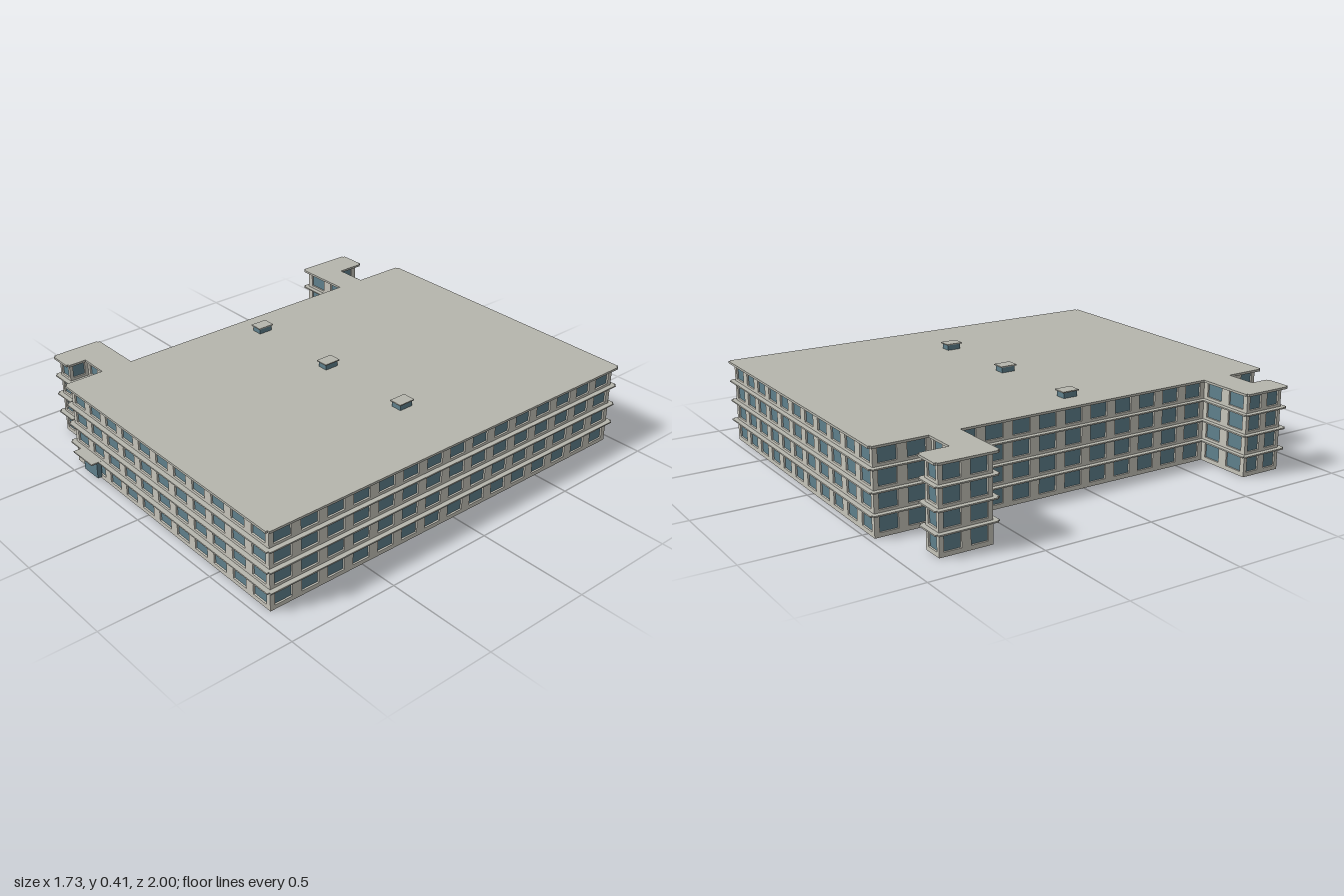
import * as THREE from 'three';

const wallMat = new THREE.MeshStandardMaterial({ name: 'wall concrete', color: 0xc6c4ba, side: THREE.DoubleSide });
const roofMat = new THREE.MeshStandardMaterial({ name: 'roof concrete', color: 0xb6b6ad });
const glassMat = new THREE.MeshStandardMaterial({ name: 'blue glass', color: 0x5f808c, side: THREE.DoubleSide });

// Outer wall footprint as [x, z]: a slightly turned main block with two hooked wings on its right side
const FOOTPRINT = [
  [-0.56, 0.94], [0.817, 0.953], [0.836, -0.963], [-0.557, -0.976],
  [-0.557, -0.724], [-0.752, -0.724], [-0.752, -0.864], [-0.847, -0.864],
  [-0.847, -0.631], [-0.558, -0.631], [-0.559, 0.645], [-0.828, 0.645],
  [-0.828, 0.84], [-0.745, 0.84], [-0.745, 0.748], [-0.56, 0.748],
];
const FLOORS = 4, FLOOR_H = 0.0925, WALL_H = 0.368, ROOF_Y = 0.376;
const WALL_T = 0.012, OVERHANG = 0.022, CORNER = 0.012;

function rect(x, y, w, h, Type = THREE.Shape) {
  return new Type([[x, y], [x + w, y], [x + w, y + h], [x, y + h]].map(p => new THREE.Vector2(...p)));
}

function box(parent, name, mat, size, pos) {
  const mesh = new THREE.Mesh(new THREE.BoxGeometry(...size), mat);
  mesh.name = name;
  mesh.position.set(...pos);
  parent.add(mesh);
  return mesh;
}

// One facade: local x runs along the wall, local z points outwards
function facade([ax, az], [bx, bz]) {
  const g = new THREE.Group();
  g.name = 'facade';
  const len = Math.hypot(bx - ax, bz - az);
  g.position.set(ax, 0, az);
  g.rotation.y = Math.atan2(az - bz, bx - ax);

  // wall with window openings and recessed panes
  const bays = Math.max(1, Math.round(len / 0.126 + 0.1));
  const bay = len / bays, w = bay * 0.65;
  const wall = rect(0, 0, len, WALL_H);
  const panes = [];
  for (let f = 0; f < FLOORS; f++) {
    for (let i = 0; i < bays; i++) {
      const r = [bay * (i + 0.5) - w / 2, 0.019 + f * FLOOR_H, w, 0.066];
      wall.holes.push(rect(...r, THREE.Path));
      panes.push(rect(...r));
    }
  }
  const wallMesh = new THREE.Mesh(
    new THREE.ExtrudeGeometry(wall, { depth: WALL_T, bevelEnabled: false }), wallMat);
  wallMesh.name = 'wall';
  wallMesh.position.z = -WALL_T;
  const glass = new THREE.Mesh(new THREE.ShapeGeometry(panes), glassMat);
  glass.name = 'windows';
  glass.position.z = -0.008;
  g.add(wallMesh, glass);

  // floor ledges and roof edge
  for (let f = 1; f <= FLOORS; f++) {
    const top = f === FLOORS;
    const h = top ? 0.01 : 0.006;
    const y = top ? ROOF_Y - h / 2 : 0.004 + f * FLOOR_H;
    box(g, top ? 'roofEdge' : 'ledge', roofMat,
      [len + 2 * CORNER, h, OVERHANG + 0.004], [len / 2, y, OVERHANG / 2 - 0.002]);
  }
  return g;
}

export function createModel() {
  const model = new THREE.Group();
  model.name = 'building';

  FOOTPRINT.forEach((a, i) => model.add(facade(a, FOOTPRINT[(i + 1) % FOOTPRINT.length])));

  // flat roof
  const roofShape = new THREE.Shape(FOOTPRINT.map(([x, z]) => new THREE.Vector2(x, -z)));
  const roofGeo = new THREE.ExtrudeGeometry(roofShape, { depth: 0.01, bevelEnabled: false });
  roofGeo.rotateX(-Math.PI / 2);
  const roof = new THREE.Mesh(roofGeo, roofMat);
  roof.name = 'roof';
  roof.position.y = ROOF_Y - 0.01;
  model.add(roof);

  // rooftop skylights
  for (const x of [-0.448, 0.02, 0.49]) {
    box(model, 'skylight', glassMat, [0.05, 0.026, 0.066], [x, ROOF_Y + 0.013, -0.014]);
    box(model, 'skylightCap', roofMat, [0.06, 0.005, 0.08], [x, ROOF_Y + 0.0275, -0.014]);
  }

  // entrance with canopy
  box(model, 'entranceDoor', glassMat, [0.105, 0.077, 0.022], [-0.418, 0.0455, 0.951]);
  box(model, 'canopy', roofMat, [0.146, 0.006, 0.058], [-0.418, 0.097, 0.969]);

  return model;
}
